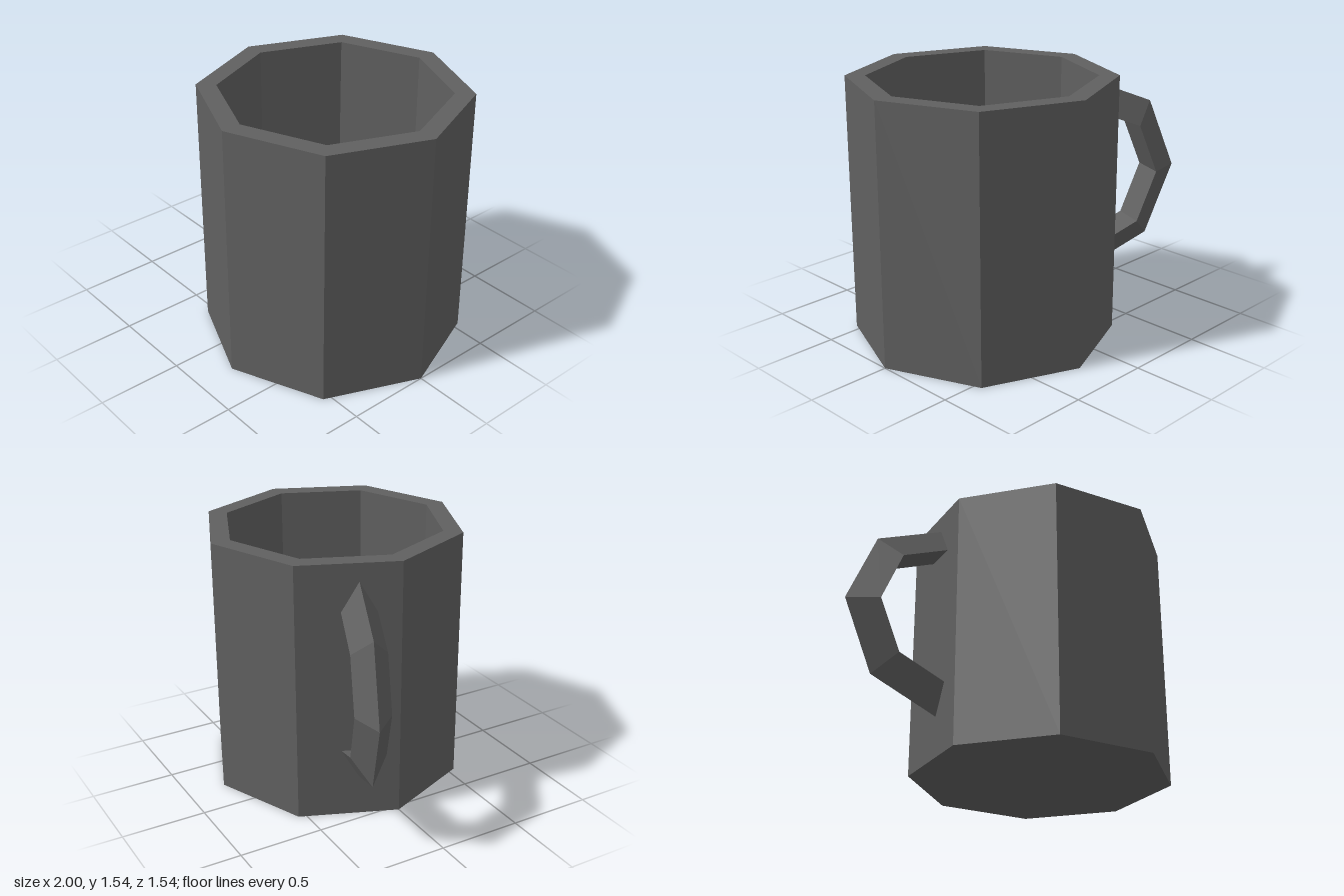
import * as THREE from 'three';

export function createModel() {
  const group = new THREE.Group();
  group.name = 'mug';
  const darkGrey = new THREE.MeshStandardMaterial({ color: 0x606060, flatShading: true });
  darkGrey.name = 'darkGrey';

  // Eight-sided hollow cup: base, outer wall, rim, inner wall, floor
  const profile = [
    [0, 0], [0.77, 0], [0.77, 1.545], [0.655, 1.545], [0.655, 0.115], [0, 0.115],
  ].map(([r, y]) => new THREE.Vector2(r, y));
  const cup = new THREE.Mesh(new THREE.LatheGeometry(profile, 8), darkGrey);
  cup.name = 'cup';
  cup.position.x = 0.23;
  group.add(cup);

  // Half-ring handle of triangular section, its ends buried in the cup wall
  const ring = new THREE.TorusGeometry(0.489, 0.116, 3, 4, Math.PI);
  ring.rotateZ(-Math.PI / 2);
  ring.rotateY(Math.PI - 0.354);
  const handle = new THREE.Mesh(ring, darkGrey);
  handle.name = 'handle';
  handle.position.set(-0.432, 0.842, -0.212);
  group.add(handle);

  return group;
}
